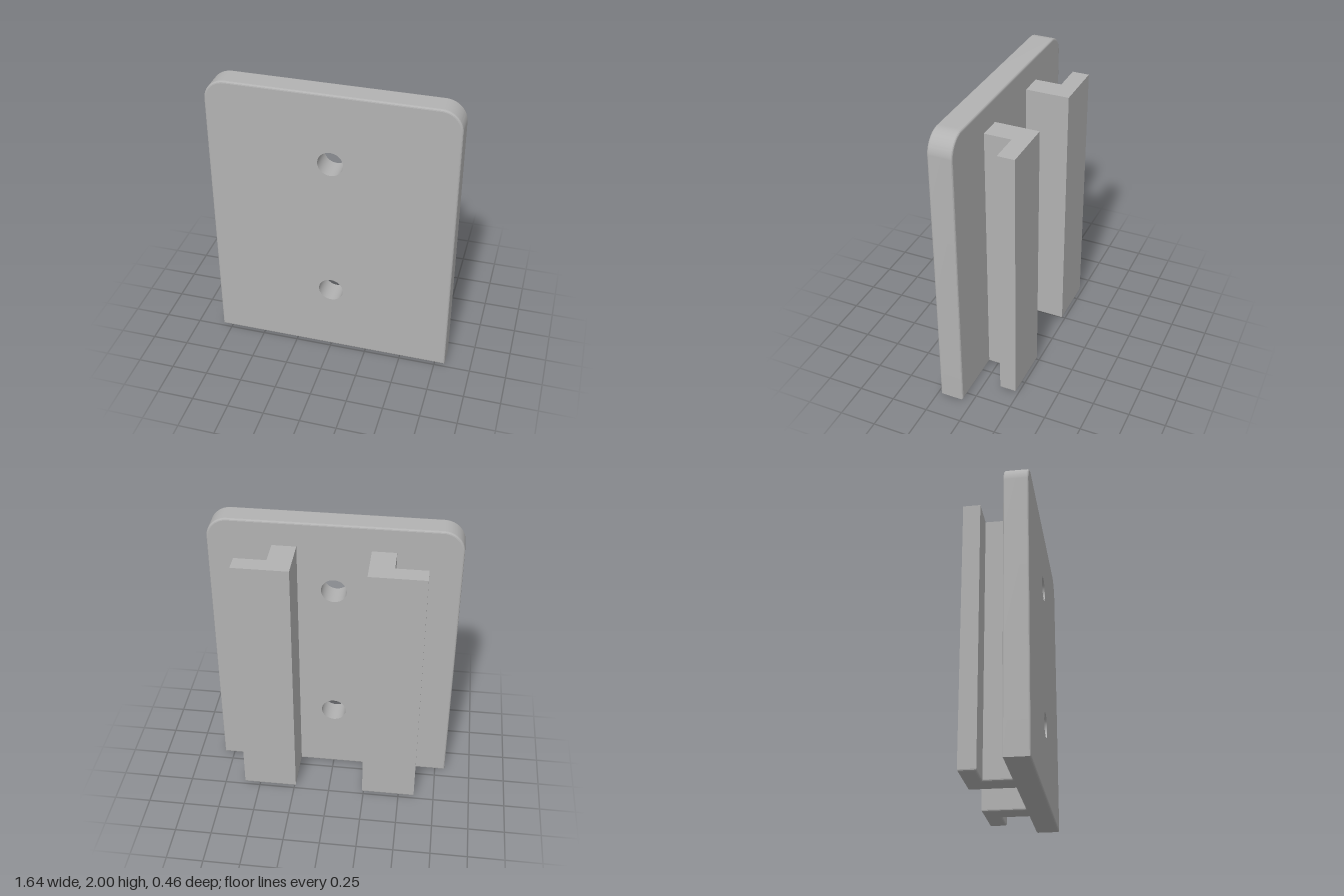
import * as THREE from 'three';
import { toCreasedNormals } from 'three/addons/utils/BufferGeometryUtils.js';

const B = 0.013; // edge rounding
const CREASE = 0.14;

// Extrusion with rounded ends whose full length is `length`, starting at z = 0
function roundedExtrude(shape, length) {
  const geo = new THREE.ExtrudeGeometry(shape, {
    depth: length - 2 * B, bevelEnabled: true, bevelThickness: B, bevelSize: B,
    bevelOffset: -B, bevelSegments: 3, curveSegments: 12,
  });
  return geo.translate(0, 0, B);
}

// Upright plate with rounded top corners and two straight screw holes
function plateGeometry() {
  const w = 0.82, h = 2, r = 0.14, holeR = 0.085, holes = [0.495, 1.51];
  const shape = new THREE.Shape();
  shape.moveTo(-w, 0);
  shape.lineTo(w, 0);
  shape.lineTo(w, h - r);
  shape.absarc(w - r, h - r, r, 0, Math.PI / 2);
  shape.lineTo(-w + r, h);
  shape.absarc(-w + r, h - r, r, Math.PI / 2, Math.PI);
  shape.closePath();
  for (const y of holes) {
    const pts = [];
    for (let i = 0; i < 48; i++) {
      const a = -i / 48 * Math.PI * 2;
      pts.push(new THREE.Vector2(holeR * Math.cos(a), y + holeR * Math.sin(a)));
    }
    shape.holes.push(new THREE.Path(pts));
  }
  const geo = roundedExtrude(shape, 0.163);

  // keep the hole rims sharp: pull their vertices back to the hole radius
  const p = geo.attributes.position;
  for (let i = 0; i < p.count; i++) {
    for (const y of holes) {
      const dx = p.getX(i), dy = p.getY(i) - y, d = Math.hypot(dx, dy);
      if (d < 0.14) p.setXY(i, dx / d * holeR, y + dy / d * holeR);
    }
  }
  geo.translate(0, 0, 0.067);
  return toCreasedNormals(geo, CREASE);
}

// L-shaped rail: web joined to the plate, flange pointing outwards
function railGeometry(side) {
  const profile = [
    [0.24, 0.10], [0.24, -0.23], [0.61, -0.23], [0.61, -0.115], [0.40, -0.115], [0.40, 0.10],
  ].map(([x, z]) => new THREE.Vector2(side * x, -z));
  const geo = roundedExtrude(new THREE.Shape(profile), 1.83);

  // the top end stays sharp: snap its vertices to the full profile
  const p = geo.attributes.position;
  const v = new THREE.Vector2();
  for (let i = 0; i < p.count; i++) {
    if (p.getZ(i) < 1) continue;
    v.set(p.getX(i), p.getY(i));
    const near = profile.reduce((a, b) => (v.distanceTo(b) < v.distanceTo(a) ? b : a));
    p.setXY(i, near.x, near.y);
  }
  geo.rotateX(-Math.PI / 2);
  return toCreasedNormals(geo, CREASE);
}

export function createModel() {
  const group = new THREE.Group();
  group.name = 'railBracket';
  const grey = new THREE.MeshStandardMaterial({ color: 0xb2b2b2 });
  grey.name = 'grey';

  const add = (name, geo) => {
    const mesh = new THREE.Mesh(geo, grey);
    mesh.name = name;
    group.add(mesh);
  };
  add('plate', plateGeometry());
  add('leftRail', railGeometry(1));
  add('rightRail', railGeometry(-1));
  return group;
}
